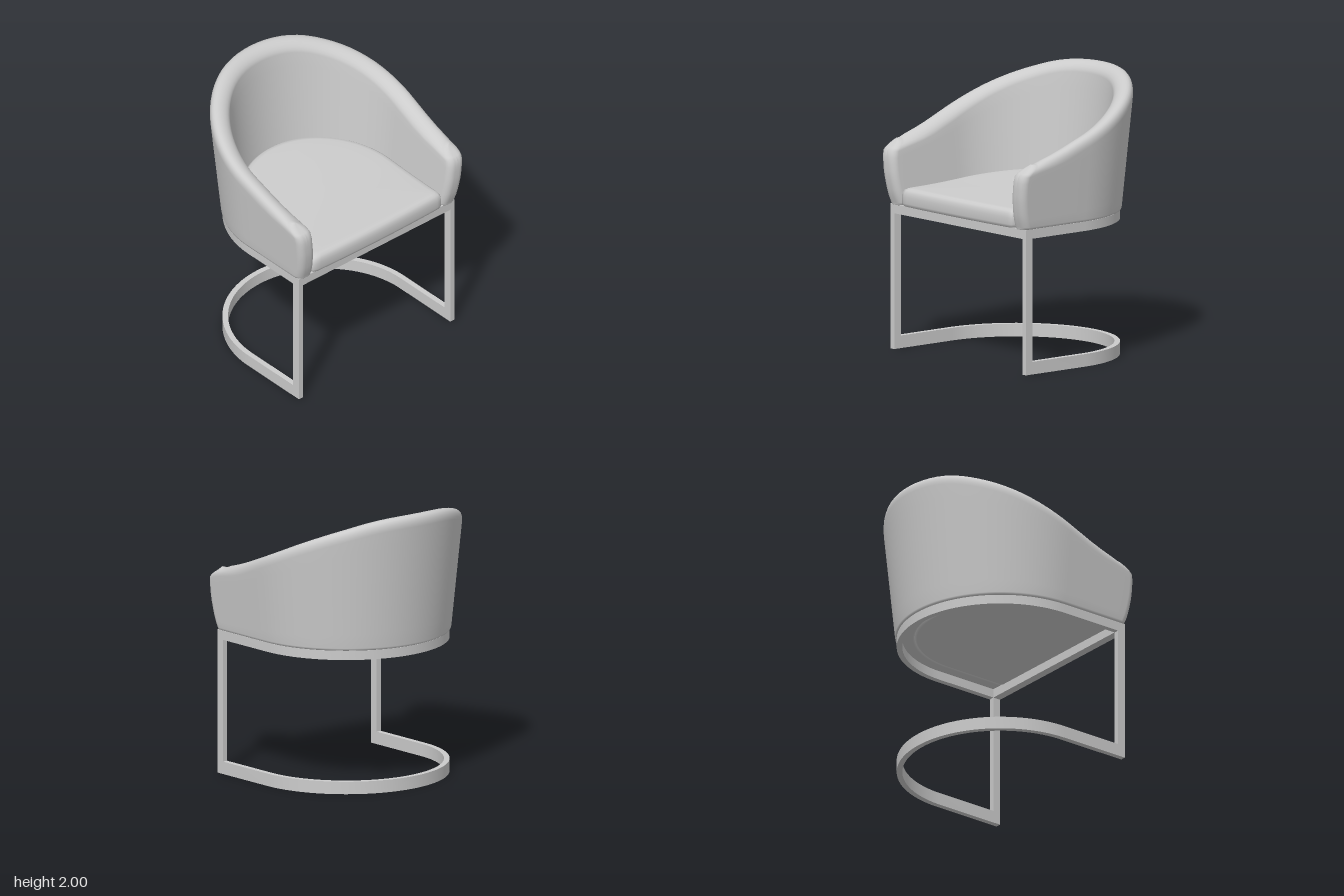
import * as THREE from 'three';
import { toCreasedNormals } from 'three/addons/utils/BufferGeometryUtils.js';

const CZ = 0.11;      // centre of the rounded back
const BASE = 1.035;   // underside of the upholstery

// Skin a list of closed rings (arrays of [x, y, z])
function loft(rings) {
  const n = rings[0].length, index = [];
  for (let i = 0; i < rings.length - 1; i++) {
    for (let j = 0; j < n; j++) {
      const a = i * n + j, b = i * n + (j + 1) % n;
      index.push(a, a + n, b, b, a + n, b + n);
    }
  }
  const geo = new THREE.BufferGeometry();
  geo.setAttribute('position', new THREE.Float32BufferAttribute(rings.flat(2), 3));
  geo.setIndex(index);
  geo.computeVertexNormals();
  return geo;
}

// Smooth lookup through evenly spaced values, u from 0 to 1
function smoothTable(values) {
  const curve = new THREE.SplineCurve(values.map((v, i) => new THREE.Vector2(i, v)));
  return u => curve.getPoint(THREE.MathUtils.clamp(u, 0, 1)).y;
}

const crestHeight = smoothTable([1.5, 1.555, 1.635, 1.72, 1.815, 1.91, 2.0]);
const armFront = smoothTable([0.66, 0.685, 0.70, 0.71, 0.71, 0.70, 0.60]);

// Wall section: f runs from -1 (inner face) to 1 (outer face)
function wallSection(top) {
  const r = 0.08, low = BASE + 0.02, high = top - r;
  const pts = [[0.75, BASE], [0.95, BASE + 0.006], [1, low]];
  for (let i = 1; i < 8; i++) pts.push([1, low + (high - low) * i / 8]);
  for (let i = 0; i <= 12; i++) {
    const a = Math.PI * i / 12;
    pts.push([Math.cos(a) + 0.2 * Math.sin(a) ** 2, high + r * Math.sin(a)]);
  }
  for (let i = 7; i > 0; i--) pts.push([-1, low + (high - low) * i / 8]);
  pts.push([-1, low], [-0.95, BASE + 0.006], [-0.75, BASE]);
  return pts;
}

// Wrap-around arms and back in one sweep
function shellGeometry() {
  const half = 0.07, round = 0.05;
  const arm = [{ k: 1, w: 0, set: 0 }];
  for (let i = 6; i >= 0; i--) {
    const b = Math.PI / 2 * i / 6;
    arm.push({ k: 1, w: 1 - round / half * (1 - Math.cos(b)), set: round * (1 - Math.sin(b)) });
  }
  for (const k of [0.8, 0.6, 0.4, 0.2]) arm.push({ k, w: 1, set: 0 });

  const ring = (crestZ, w, place) =>
    wallSection(crestHeight((0.6 - crestZ) / 1.26)).map(([f, y]) =>
      place(0.67 + 0.1 * (y - BASE) + f * half * w, y));
  const armRing = (side, { k, w, set }) =>
    ring(CZ + k * (0.6 - CZ), w, (off, y) =>
      [side * off, y, CZ + k * (armFront((y - BASE) / (1.5 - BASE)) - set - CZ)]);

  const rings = arm.map(s => armRing(1, s));
  for (let i = 0; i <= 40; i++) {
    const t = Math.PI * i / 40, c = Math.cos(t), s = Math.sin(t);
    rings.push(ring(CZ - 0.77 * s, 1, (off, y) => [off * c, y, CZ - off * s]));
  }
  for (const s of [...arm].reverse()) rings.push(armRing(-1, s));
  return loft(rings);
}

// Cushion: D-shaped outline, rounded edge, rising toward the back
function seatGeometry() {
  const d = new THREE.Shape();
  d.moveTo(0.61, CZ);
  d.lineTo(0.61, 0.63);
  d.quadraticCurveTo(0.61, 0.665, 0.575, 0.667);
  d.quadraticCurveTo(0, 0.69, -0.575, 0.667);
  d.quadraticCurveTo(-0.61, 0.665, -0.61, 0.63);
  d.lineTo(-0.61, CZ);
  d.absarc(0, CZ, 0.61, Math.PI, Math.PI * 2, false);
  const outline = d.getSpacedPoints(120).slice(0, -1);
  const profile = [[0, 0], [0.96, 0], [0.985, 0.04], [1, 0.2], [1, 0.55], [0.993, 0.75],
    [0.975, 0.89], [0.945, 0.97], [0.9, 1], [0.75, 1.02], [0.5, 1.04], [0.25, 1.05], [0, 1.055]];
  return loft(profile.map(([s, f]) => outline.map(p => {
    const z = 0.1 + (p.y - 0.1) * s;
    const rise = Math.max(0, (0.65 - z) / 1.14) ** 2;
    return [p.x * s, BASE - 0.003 + f * (0.135 + 0.08 * rise), z];
  })));
}

// U-shaped flat metal band between two heights
function bandGeometry(y0, y1) {
  const u = new THREE.Shape();
  u.moveTo(0.73, 0.65);
  u.lineTo(0.73, CZ);
  u.absarc(0, CZ, 0.73, 0, -Math.PI, true);
  u.lineTo(-0.73, 0.65);
  u.lineTo(-0.69, 0.65);
  u.lineTo(-0.69, CZ);
  u.absarc(0, CZ, 0.69, -Math.PI, 0, false);
  u.lineTo(0.69, 0.65);
  const geo = new THREE.ExtrudeGeometry(u, { depth: y1 - y0, bevelEnabled: false, curveSegments: 40 });
  geo.rotateX(Math.PI / 2).translate(0, y1, 0);
  return toCreasedNormals(geo, 0.5);
}

export function createModel() {
  const model = new THREE.Group();
  model.name = 'tubChair';
  const material = new THREE.MeshStandardMaterial({ color: 0xcccccc });
  const add = (name, geo, x = 0, y = 0, z = 0) => {
    const mesh = new THREE.Mesh(geo, material);
    mesh.name = name;
    mesh.position.set(x, y, z);
    model.add(mesh);
  };

  // Upholstery
  add('armsAndBack', shellGeometry());
  add('seatCushion', seatGeometry());

  // Metal frame
  add('floorBand', bandGeometry(0, 0.09));
  add('seatBand', bandGeometry(0.97, 1.037));
  add('frontRail', new THREE.BoxGeometry(1.38, 0.066, 0.06), 0, 1.003, 0.62);
  for (const side of [1, -1]) {
    add(side > 0 ? 'leftLeg' : 'rightLeg',
      new THREE.BoxGeometry(0.04, 0.88, 0.06), side * 0.71, 0.53, 0.62);
  }
  return model;
}
